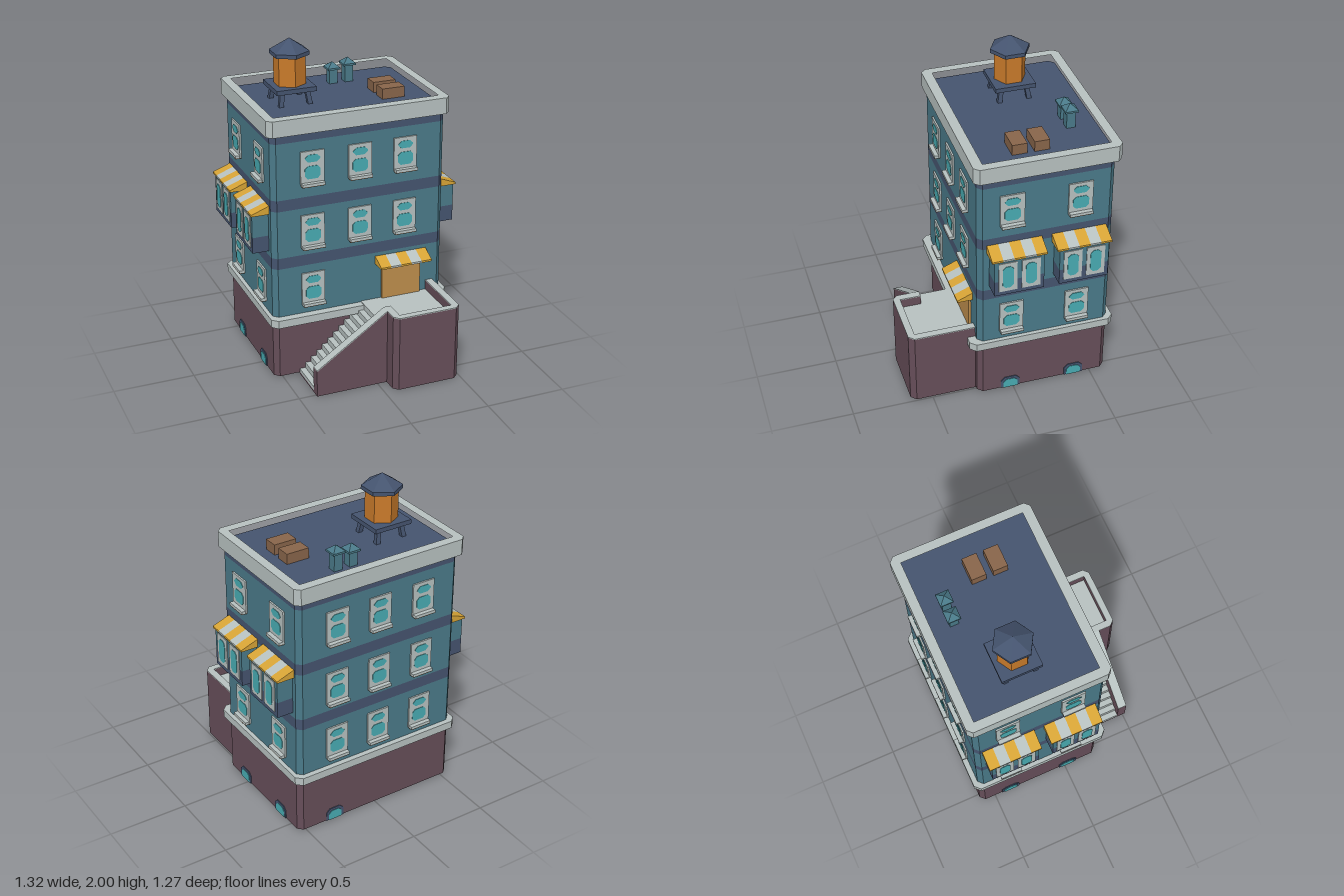
import * as THREE from 'three';

const mat = (name, color) => {
  const m = new THREE.MeshStandardMaterial({ color });
  m.name = name;
  return m;
};

export function createModel() {
  const root = new THREE.Group();
  root.name = 'townHouse';
  const M = {
    wall: mat('teal wall', 0x4a7a89), navy: mat('navy trim', 0x45546f),
    stone: mat('pale stone', 0xb7c1c0), base: mat('plum base', 0x664e59),
    glass: mat('turquoise glass', 0x48abb2), yellow: mat('awning yellow', 0xd7a436),
    door: mat('door tan', 0xbd8d4c), tank: mat('tank orange', 0xc87a2a),
    crate: mat('crate brown', 0x88654a),
  };

  const add = (parent, name, geo, material, x = 0, y = 0, z = 0) => {
    const m = new THREE.Mesh(geo, material);
    m.name = name;
    m.position.set(x, y, z);
    parent.add(m);
    return m;
  };
  const box = (parent, name, w, h, d, material, x, y, z) =>
    add(parent, name, new THREE.BoxGeometry(w, h, d), material, x, y, z);
  const group = (parent, name, x, y, z, ry = 0) => {
    const g = new THREE.Group();
    g.name = name;
    g.position.set(x, y, z);
    g.rotation.y = ry;
    parent.add(g);
    return g;
  };
  const shapeOf = pts => new THREE.Shape(pts.map(p => new THREE.Vector2(p[0], p[1])));
  const extrude = (shape, depth) => new THREE.ExtrudeGeometry(shape, { depth, bevelEnabled: false });

  // Upright prism from a plan outline of [x, z] points
  const prism = (name, plan, y0, y1, material, hole) => {
    const s = shapeOf(plan.map(p => [p[0], -p[1]]));
    if (hole) s.holes.push(new THREE.Path(hole.map(p => new THREE.Vector2(p[0], -p[1]))));
    return add(root, name, extrude(s, y1 - y0).rotateX(-Math.PI / 2), material, 0, y0, 0);
  };
  const chamfered = (x0, x1, y0, y1, c) => [
    [x0 + c, y0], [x1 - c, y0], [x1, y0 + c], [x1, y1 - c],
    [x1 - c, y1], [x0 + c, y1], [x0, y1 - c], [x0, y0 + c]];

  // Stacked storeys, belts, ledge and parapet
  const plan = chamfered(-0.55, 0.55, -0.6, 0.225, 0.03);
  prism('basement', plan, 0.01, 0.39, M.base);
  [[0.39, 0.73, 'wall'], [0.73, 0.8, 'navy'], [0.8, 1.1, 'wall'], [1.1, 1.17, 'navy'],
    [1.17, 1.52, 'wall'], [1.52, 1.61, 'navy']].forEach(([a, b, k]) =>
    prism(k === 'wall' ? 'storeyWall' : 'belt', plan, a, b, M[k]));
  prism('stoneLedge', chamfered(-0.575, 0.575, -0.633, 0.275, 0.035), 0.365, 0.415, M.stone);
  prism('parapet', chamfered(-0.575, 0.575, -0.633, 0.248, 0.03), 1.57, 1.67, M.stone,
    [[-0.52, -0.575], [0.52, -0.575], [0.52, 0.187], [-0.52, 0.187]]);

  // Octagonal pane, local +z outward
  const pane = (parent, w, h, c, y, z, x = 0, material = M.glass, name = 'glassPane') =>
    add(parent, name, extrude(shapeOf(chamfered(-w / 2, w / 2, -h / 2, h / 2, c)), 0.004), material, x, y, z);

  // Sash window with sill; y is the bottom of the frame
  const sashWindow = (x, y, z, ry) => {
    const g = group(root, 'window', x, y, z, ry);
    box(g, 'windowFrame', 0.147, 0.208, 0.016, M.stone, 0, 0.104, 0.002);
    pane(g, 0.095, 0.046, 0.02, 0.163, 0.009);
    pane(g, 0.097, 0.08, 0.018, 0.076, 0.009);
    box(g, 'windowSill', 0.14, 0.016, 0.036, M.stone, 0, 0.006, 0.018);
    box(g, 'sillUnderside', 0.14, 0.004, 0.036, M.crate, 0, -0.004, 0.018);
  };
  const rows = [0.472, 0.848, 1.248], cols = [-0.3, 0, 0.29], sideZ = [0.02, -0.39];
  rows.forEach((y, r) => {
    cols.forEach((x, c) => {
      sashWindow(x, y, -0.6, Math.PI);
      if (r > 0 || c === 0) sashWindow(x, y, 0.225, 0);
    });
    if (r !== 1) for (const s of [-1, 1])
      sideZ.forEach(z => sashWindow(s * 0.55, y, z, s * Math.PI / 2));
  });

  // Basement lights
  const basementLight = (x, z, ry) => {
    const g = group(root, 'basementWindow', x, 0.01, z, ry);
    const arch = (w, h, c) => shapeOf([[-w, 0], [w, 0], [w, h - c], [w - c, h], [c - w, h], [-w, h - c]]);
    add(g, 'basementFrame', extrude(arch(0.06, 0.078, 0.025), 0.005), M.navy);
    add(g, 'basementGlass', extrude(arch(0.045, 0.062, 0.02), 0.008), M.glass);
  };
  for (const s of [-1, 1]) sideZ.forEach(z => basementLight(s * 0.55, z, s * Math.PI / 2));
  basementLight(0.3, -0.6, Math.PI);

  // Five-striped sloping awning
  const awning = (parent, width, depth, y) => {
    const g = group(parent, 'awning', 0, y, 0);
    const side = shapeOf([[0, 0], [depth, 0], [depth, 0.012], [0, 0.053]]);
    const w = width / 5;
    for (let i = 0; i < 5; i++)
      add(g, 'awningStripe', extrude(side, w).rotateY(-Math.PI / 2),
        i % 2 ? M.stone : M.yellow, -width / 2 + w * (i + 1), 0, 0);
  };

  // Bay windows on both sides
  for (const s of [-1, 1]) for (const z of [0.005, -0.39]) {
    const g = group(root, 'bayWindow', s * 0.55, 0, z, s * Math.PI / 2);
    box(g, 'bayBase', 0.302, 0.1, 0.104, M.navy, 0, 0.88, 0.05);
    box(g, 'bayWall', 0.302, 0.145, 0.104, M.wall, 0, 1.0025, 0.05);
    for (const k of [-1, 1]) {
      box(g, 'bayFrame', 0.112, 0.2, 0.006, M.stone, k * 0.07, 0.958, 0.104);
      pane(g, 0.066, 0.15, 0.018, 0.958, 0.106, k * 0.07);
    }
    awning(g, 0.333, 0.11, 1.072);
  }

  // Front door
  box(root, 'frontDoor', 0.255, 0.25, 0.03, M.door, 0.272, 0.535, 0.225);
  awning(group(root, 'doorAwning', 0.272, 0, 0.222), 0.335, 0.098, 0.655);

  // Porch floor and parapet
  const outer = [[0.06, 0.46], [0.06, 0.6], [0.09, 0.632], [0.458, 0.632], [0.49, 0.6], [0.49, 0.22]];
  const rim = [...outer, [0.445, 0.22], [0.445, 0.59], [0.105, 0.59], [0.105, 0.46]];
  prism('porchBody', [...outer, [0.06, 0.22]], 0, 0.4, M.base);
  prism('porchFloor', [[0.04, 0.22], [0.45, 0.22], [0.45, 0.595], [0.1, 0.595], [0.1, 0.47], [0.04, 0.47]],
    0.395, 0.42, M.stone);
  prism('porchParapet', rim, 0.4, 0.477, M.base);
  prism('porchCoping', rim, 0.477, 0.483, M.stone);

  // Stairs rising toward the porch
  const steps = 12, x0 = -0.392, run = 0.44 / steps, rise = 0.42 / steps;
  const stair = [[0.06, 0.012], [x0, 0.012]];
  for (let i = 0; i < steps; i++) stair.push([x0 + i * run, (i + 1) * rise], [x0 + (i + 1) * run, (i + 1) * rise]);
  stair.push([0.06, 0.42]);
  add(root, 'stairs', extrude(shapeOf(stair.reverse()), 0.24), M.stone, 0, 0, 0.222);
  add(root, 'stairUnderside', new THREE.BoxGeometry(0.45, 0.012, 0.25), M.base, -0.167, 0.006, 0.34);
  add(root, 'stairWall', extrude(shapeOf([[x0, 0], [0.08, 0], [0.08, 0.477], [0.06, 0.477], [x0, 0.167]]), 0.058),
    M.base, 0, 0, 0.46);
  add(root, 'stairCoping', extrude(shapeOf([[x0, 0.167], [0.06, 0.477], [0.105, 0.477], [0.105, 0.483],
    [0.06, 0.483], [x0, 0.174]]), 0.058), M.stone, 0, 0, 0.46);

  // Water tower
  const t = group(root, 'waterTower', -0.265, 0, -0.223);
  for (const x of [-1, 1]) for (const z of [-1, 1]) {
    const leg = box(t, 'towerLeg', 0.028, 0.1, 0.028, M.navy, x * 0.085, 1.652, z * 0.085);
    leg.rotation.set(-z * 0.15, 0, x * 0.15);
  }
  box(t, 'towerPlatform', 0.25, 0.028, 0.25, M.navy, 0, 1.706, 0);
  add(t, 'tank', new THREE.CylinderGeometry(0.098, 0.098, 0.182, 6).toNonIndexed(), M.tank, 0, 1.81, 0);
  add(t, 'tankRim', new THREE.CylinderGeometry(0.122, 0.122, 0.024, 6).toNonIndexed(), M.navy, 0, 1.912, 0);
  add(t, 'tankRoof', new THREE.ConeGeometry(0.122, 0.076, 6).toNonIndexed(), M.navy, 0, 1.962, 0);
  for (const n of ['tank', 'tankRim', 'tankRoof']) t.getObjectByName(n).geometry.computeVertexNormals();

  // Roof vents with pyramid caps
  for (const [x, top] of [[0.093, 1.745], [0.196, 1.762]]) {
    const v = group(root, 'roofVent', x, top, -0.44);
    box(v, 'ventShaft', 0.054, top - 1.645, 0.054, M.wall, 0, (1.605 - top - 0.04) / 2, 0);
    box(v, 'ventCapRim', 0.08, 0.012, 0.08, M.wall, 0, -0.04, 0);
    const cap = new THREE.ConeGeometry(0.0566, 0.034, 4).rotateY(Math.PI / 4).toNonIndexed();
    cap.computeVertexNormals();
    add(v, 'ventCap', cap, M.wall, 0, -0.017, 0);
  }

  // Roof crates
  for (const z of [-0.205, -0.071])
    box(root, 'roofCrate', 0.145, 0.07, 0.091, M.crate, 0.325, 1.64, z);

  return root;
}
